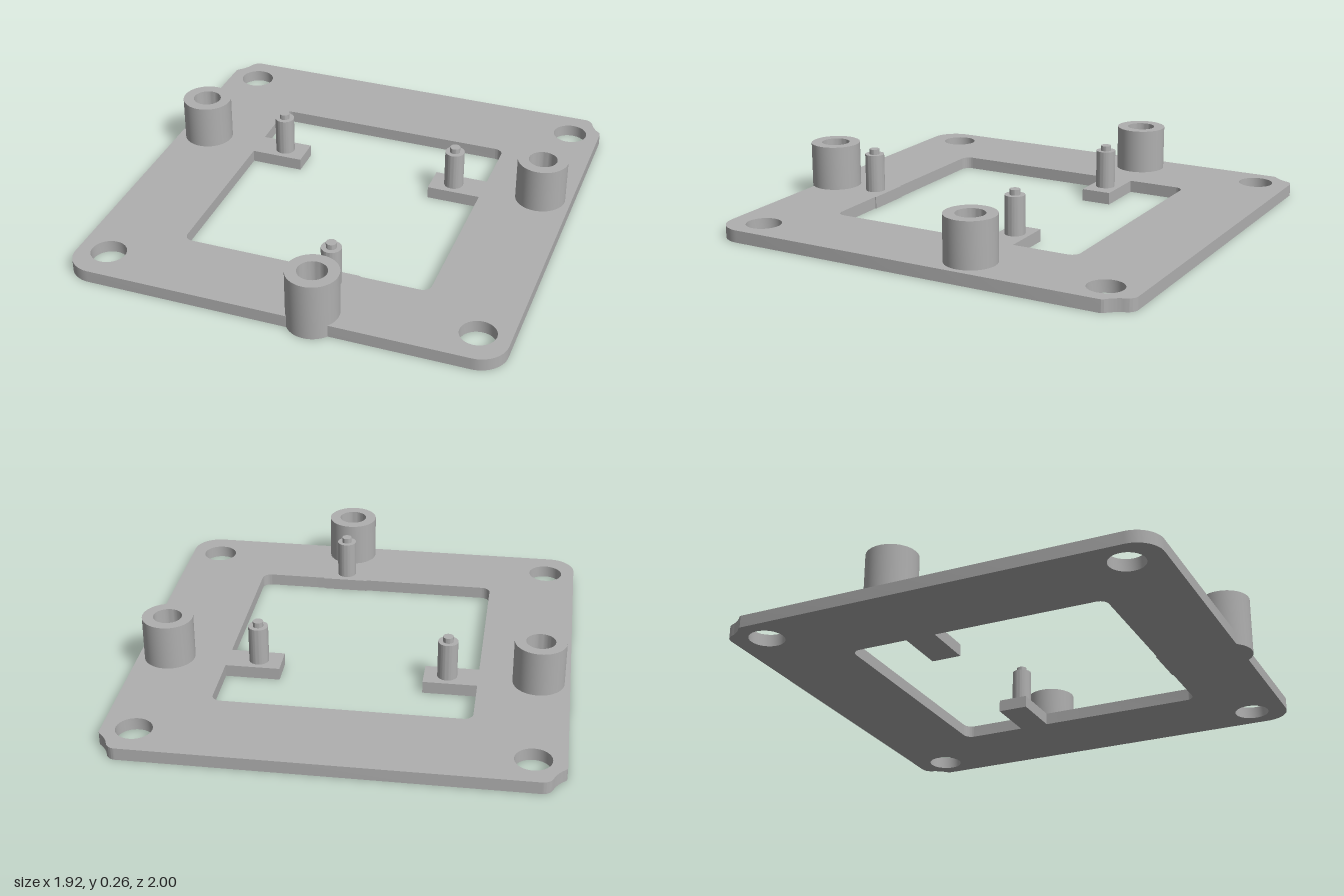
import * as THREE from 'three';
import { toCreasedNormals } from 'three/addons/utils/BufferGeometryUtils.js';

const T = 0.055; // plate thickness
const TOP = 0.258; // top of the bosses

// Outline helper: straight edges between corners given as [x, z, radius]
function roundedPath(path, corners) {
  const n = corners.length;
  corners.forEach(([x, z, r], i) => {
    const toward = ([px, pz]) => {
      const d = Math.hypot(px - x, pz - z);
      return [x + ((px - x) / d) * r, z + ((pz - z) / d) * r];
    };
    const a = toward(corners[(i + n - 1) % n]);
    const b = toward(corners[(i + 1) % n]);
    if (i === 0) path.moveTo(a[0], -a[1]);
    else path.lineTo(a[0], -a[1]);
    if (r > 0) {
      const k = 0.448; // near-circular fillet
      path.bezierCurveTo(
        x + (a[0] - x) * k, -(z + (a[1] - z) * k),
        x + (b[0] - x) * k, -(z + (b[1] - z) * k), b[0], -b[1]);
    }
  });
  path.closePath();
  return path;
}

// Flat frame with scalloped back corners, screw holes and two inward tabs
function plateGeometry() {
  const shape = roundedPath(new THREE.Shape(), [
    [-0.96, 0.955, 0.12], [0.96, 0.955, 0.12],
    [0.96, -0.895, 0.012], [0.922, -0.925, 0.035], [0.893, -1, 0.03],
    [-0.893, -1, 0.03], [-0.922, -0.925, 0.035], [-0.96, -0.895, 0.012],
  ]);
  const r = 0.04;
  shape.holes.push(roundedPath(new THREE.Path(), [
    [-0.56, -0.585, r], [0.557, -0.585, r],
    [0.557, -0.292, 0], [0.315, -0.292, 0], [0.315, -0.155, 0], [0.557, -0.155, 0],
    [0.557, 0.6, r], [0.255, 0.6, 0], [0.255, 0.595, 0], [0.045, 0.595, 0], [0.045, 0.6, 0],
    [-0.56, 0.6, r],
    [-0.56, -0.177, 0], [-0.322, -0.177, 0], [-0.322, -0.314, 0], [-0.56, -0.314, 0],
  ]));
  for (const x of [-0.822, 0.822]) {
    for (const z of [-0.845, 0.795]) {
      shape.holes.push(new THREE.Path().absarc(x, -z, 0.078, 0, Math.PI * 2, true));
    }
  }
  const geo = new THREE.ExtrudeGeometry(shape, { depth: T, bevelEnabled: false, curveSegments: 20 });
  geo.rotateX(-Math.PI / 2);
  return toCreasedNormals(geo, 0.5);
}

function turned(points) {
  const profile = points.map(([r, y]) => new THREE.Vector2(r, y));
  return toCreasedNormals(new THREE.LatheGeometry(profile, 48), 0.5);
}

export function createModel() {
  const group = new THREE.Group();
  const grey = new THREE.MeshStandardMaterial({ color: 0xb0b0b0 });
  grey.name = 'grey';

  const add = (name, geo, x = 0, z = 0) => {
    const mesh = new THREE.Mesh(geo, grey);
    mesh.name = name;
    mesh.position.set(x, 0, z);
    group.add(mesh);
  };

  add('basePlate', plateGeometry());

  // Hollow bosses; the front one overhangs the edge and reaches the ground
  const boss = (base) => turned([
    [0, base], [0.113, base], [0.113, TOP], [0.064, TOP], [0.064, T + 0.001], [0, T + 0.001],
  ]);
  add('leftBoss', boss(T), 0.82, -0.245);
  add('rightBoss', boss(T), -0.822, -0.245);
  add('frontBoss', boss(0), 0.152, 0.886);

  // Stepped locating pins
  const pin = turned([
    [0, T], [0.044, T], [0.044, 0.228], [0.023, 0.228], [0.023, 0.252], [0, 0.252],
  ]);
  add('leftPin', pin, 0.418, -0.224);
  add('rightPin', pin, -0.424, -0.245);
  add('frontPin', pin, 0.152, 0.667);

  return group;
}
